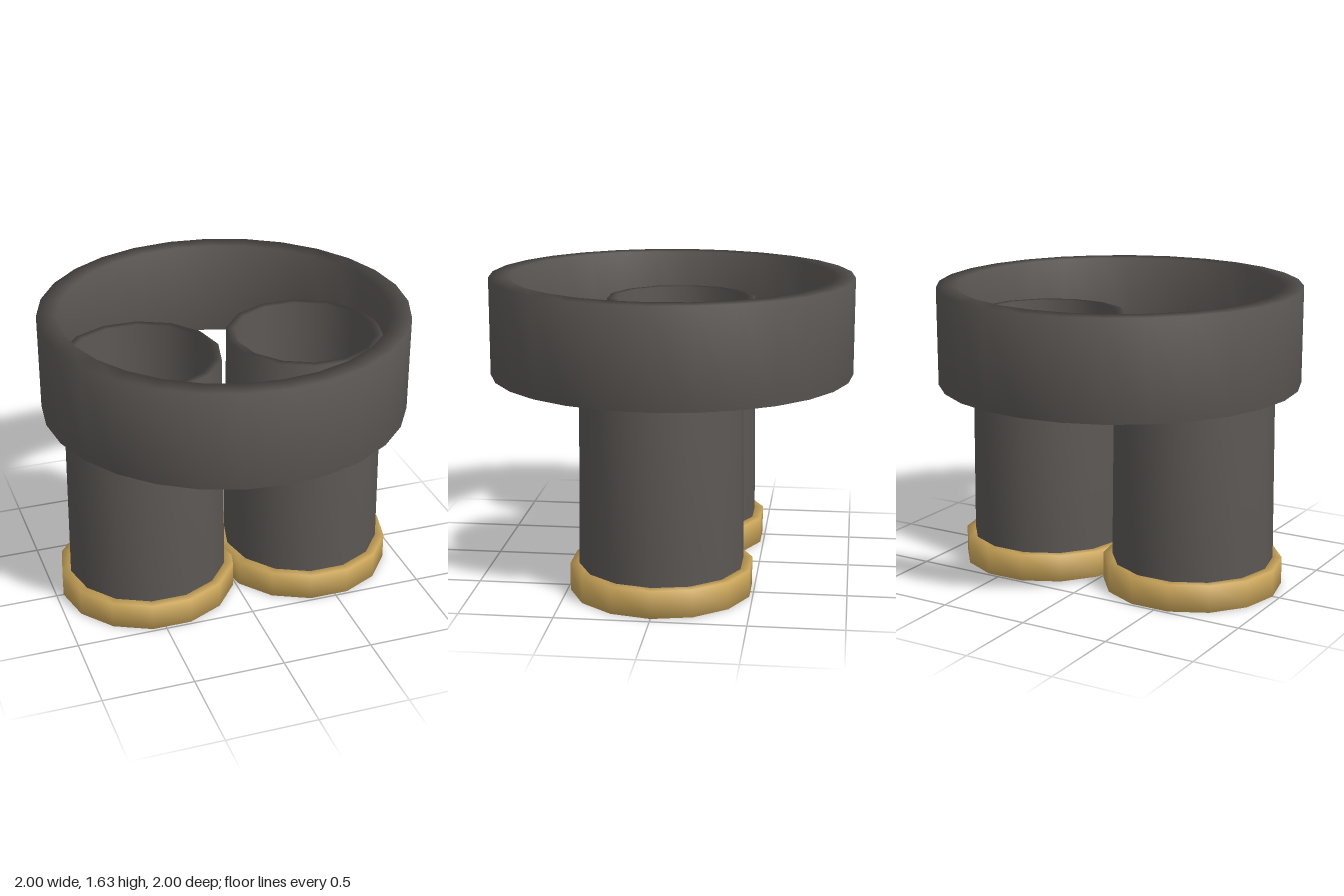
import * as THREE from 'three';
import { mergeVertices } from 'three/addons/utils/BufferGeometryUtils.js';

const dark = new THREE.MeshStandardMaterial({ color: 0x5c5855 });
const gold = new THREE.MeshStandardMaterial({ color: 0xd0aa5c });

// Hollow band with a four-cornered wall section, shaded smoothly across its edges.
// Radii are given at the bottom and at the top, outside and inside.
function band(name, material, sides, y0, y1, outer, inner) {
  const profile = [
    [outer[0], y0], [outer[1], y1], [inner[1], y1], [inner[0], y0], [outer[0], y0],
  ].map(([r, y]) => new THREE.Vector2(r, y));
  let geometry = new THREE.LatheGeometry(profile, sides, Math.PI / 2);
  geometry.deleteAttribute('normal');
  geometry.deleteAttribute('uv');
  geometry = mergeVertices(geometry, 1e-4);
  geometry.computeVertexNormals();
  const mesh = new THREE.Mesh(geometry, material);
  mesh.name = name;
  return mesh;
}

export function createModel() {
  const model = new THREE.Group();
  model.name = 'twinTubeStand';

  // Wide ring around the tops of the tubes
  model.add(band('upperRing', dark, 28, 1.1, 1.635, [1, 1], [0.89, 0.89]));

  // Two slightly tapered open tubes, each with a gold cuff at the foot
  for (const [side, sign] of [['left', 1], ['right', -1]]) {
    const leg = new THREE.Group();
    leg.name = side + 'Leg';
    leg.add(
      band(side + 'Tube', dark, 14, 0.05, 1.43, [0.446, 0.432], [0.4, 0.388]),
      band(side + 'Cuff', gold, 14, 0, 0.15, [0.495, 0.495], [0.41, 0.41]),
    );
    leg.position.x = sign * 0.465;
    model.add(leg);
  }
  return model;
}
